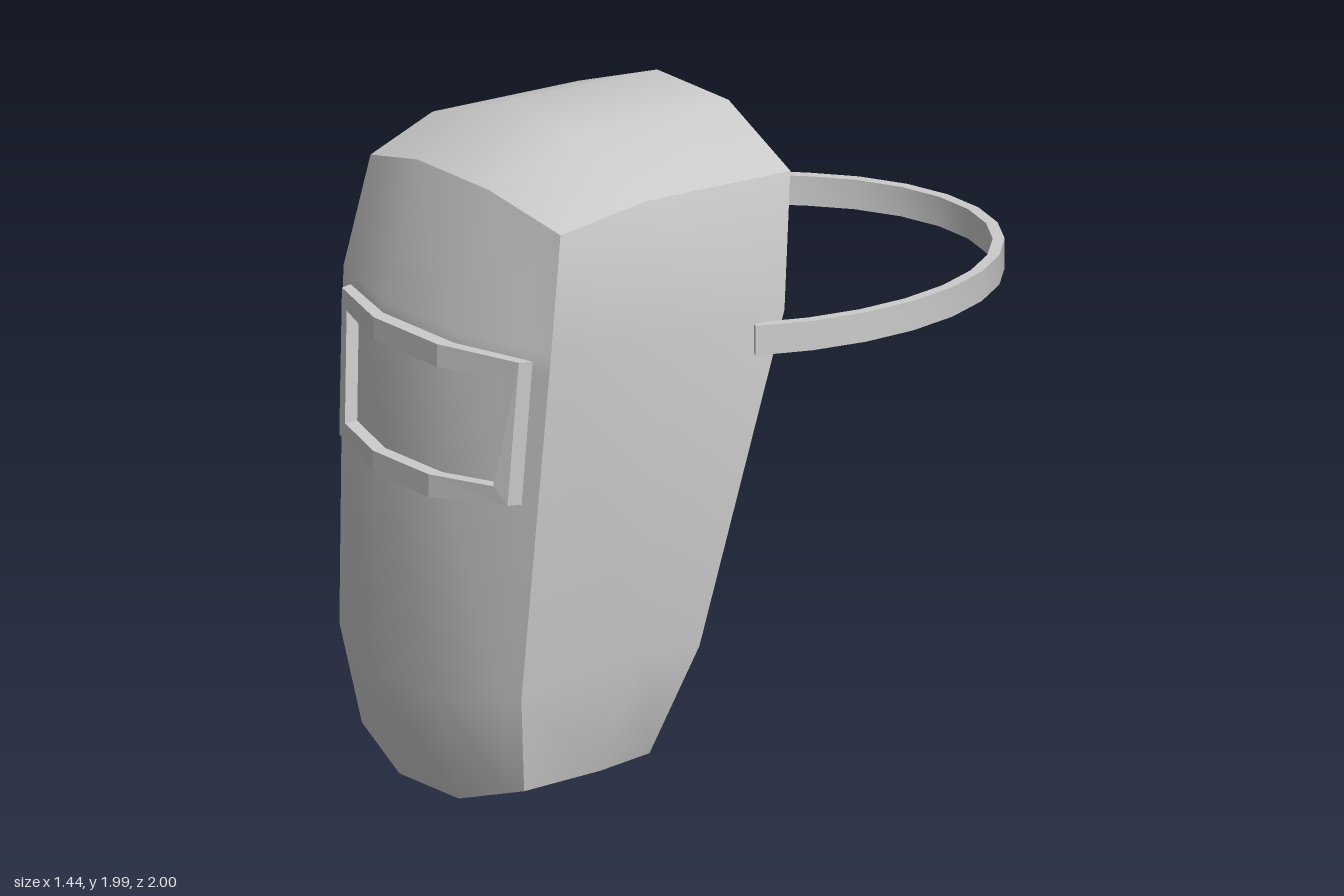
import * as THREE from 'three';
import { toCreasedNormals } from 'three/addons/utils/BufferGeometryUtils.js';

const mat = new THREE.MeshStandardMaterial({ color: 0xcccccc });
const thinMat = new THREE.MeshStandardMaterial({ color: 0xcccccc, side: THREE.DoubleSide });

// Surface through a grid of points: rows run down, columns run right, seen from its front.
function patch(grid, { flip = false, flat = false, hole = () => false } = {}) {
  const n = grid[0].length, index = [];
  for (let r = 0; r < grid.length - 1; r++) {
    for (let c = 0; c < n - 1; c++) {
      if (hole(r, c)) continue;
      const a = r * n + c, b = a + 1, d = a + n, e = d + 1;
      index.push(...(flip ? [a, e, d, a, b, e] : [a, d, e, a, e, b]));
    }
  }
  let geo = new THREE.BufferGeometry();
  geo.setAttribute('position', new THREE.Float32BufferAttribute(grid.flat(2), 3));
  geo.setIndex(index);
  if (flat) geo = geo.toNonIndexed();
  geo.computeVertexNormals();
  return geo;
}

const mesh = (name, geo, m = mat) => {
  const o = new THREE.Mesh(geo, m);
  o.name = name;
  return o;
};
const mirror = ([x, y, z]) => [-x, y, z];
const mix = (p, q, t) => p.map((v, i) => v + (q[i] - v) * t);
// Full row from its right half, listed from the centre outwards.
const fullRow = (half) => [...half.map(mirror).reverse(), ...half];
// Slanted plane that cuts the shell open at the back.
const cutZ = (y) => -0.04 + (2 - y) * 0.25;
const onCut = (x, y) => [x, y, cutZ(y)];

// Inner skin point: drawn in from the outer one, staying on the cut plane at the back.
function inset([x, y, z]) {
  const y2 = 1 + (y - 1) * 0.98;
  const back = Math.abs(z - cutZ(y)) < 0.001;
  return [x * 0.968, y2, back ? cutZ(y2) : z - 0.02];
}

function makeShell() {
  const shell = new THREE.Group();
  shell.name = 'maskShell';

  // Centre and corner lines of the front, from top to bottom
  const centre = [[0.18, 1.88, 0.815], [0.18, 1.47, 0.935], [0.17, 0.36, 0.985], [0.15, 0.03, 0.9]];
  const corner = [[0.48, 1.81, 0.77], [0.525, 1.47, 0.835], [0.46, 0.41, 0.895], [0.41, 0.11, 0.85]];
  // Widest line and back edge of the side wall
  const middle = [[0.535, 1.88, 0.51], [0.64, 1.48, 0.51], [0.565, 0.5, 0.54], [0.44, 0.135, 0.6]];
  const back = [onCut(0.535, 1.88), onCut(0.64, 1.5), onCut(0.565, 0.5), onCut(0.435, 0.155)];
  const topBack = onCut(0.18, 2), bottomBack = onCut(0.14, 0.03);

  // Front with extra rows and columns around the viewing window
  const withWindow = (line) => [line[0], line[1], mix(line[1], line[2], 0.06), mix(line[1], line[2], 0.42), line[2], line[3]];
  const c6 = withWindow(centre), e6 = withWindow(corner);
  const front = c6.map((c, i) => fullRow([c, mix(e6[i], c, 0.25), e6[i]]));
  const side = corner.map((p, i) => [p, middle[i], back[i]]);
  const top = [[topBack, back[0]], [[0.18, 2, 0.51], middle[0]], [centre[0], corner[0]]].map(fullRow);
  const bottom = [[centre[3], corner[3]], [[0.14, 0.01, 0.6], middle[3]], [bottomBack, back[3]]].map(fullRow);
  const hole = (r, c) => r === 2 && c > 0 && c < 4;

  const panels = [
    ['frontPanel', front, { hole }],
    ['leftPanel', side, {}],
    ['rightPanel', side.map((row) => row.map(mirror)), { flip: true }],
    ['topPanel', top, {}],
    ['bottomPanel', bottom, {}],
  ];
  for (const [name, grid, opt] of panels) {
    shell.add(mesh(name, patch(grid, opt)));
    const inner = grid.map((row) => row.map(inset));
    shell.add(mesh(name + 'Inside', patch(inner, { ...opt, flip: !opt.flip })));
  }

  // Thin rim joining both skins round the back opening
  const half = [topBack, ...back, bottomBack];
  const loop = [...half, ...half.map(mirror).reverse(), topBack];
  shell.add(mesh('rim', patch([loop, loop.map(inset)], { flip: true, flat: true })));
  return shell;
}

function makeWindow() {
  const group = new THREE.Group();
  group.name = 'viewingWindow';
  // Closed loop from the right half of the top and bottom edges
  const ring = (top, bottom) => {
    const t = fullRow(top), b = fullRow(bottom).reverse();
    return [...t, ...b, t[0]];
  };
  const push = (pts, dx, dz) => pts.map(([x, y, z]) => [x + Math.sign(x) * dx, y, z + dz]);
  const outer = ring([[0.16, 1.435, 0.985], [0.447, 1.435, 0.895]], [[0.14, 0.965, 1.0], [0.425, 0.997, 0.92]]);
  const innerTop = [[0.16, 1.365, 0.985], [0.405, 1.378, 0.908]];
  const innerBottom = [[0.14, 1.035, 1.0], [0.375, 1.047, 0.935]];
  const inner = ring(innerTop, innerBottom);
  const outerBack = push(outer, 0.018, -0.055);
  const innerBack = push(inner, 0, -0.075);
  group.add(mesh('windowFrame', patch([outerBack, outer, inner, innerBack, outerBack], { flat: true })));

  // Dark glass set back in the frame
  const lens = [innerTop, innerBottom].map((h) => push(fullRow(h), 0.005, -0.045));
  group.add(mesh('lens', patch(lens), thinMat));
  return group;
}

function makeHeadband() {
  // Flat elliptical strap, open at the front where it meets the shell
  const pts = [], inner = [], steps = 19;
  for (let i = 0; i <= steps; i++) {
    const a = THREE.MathUtils.degToRad(-26.5 + (233 * i) / steps);
    pts.push(new THREE.Vector2(0.722 * Math.cos(a), 0.17 + 0.83 * Math.sin(a)));
    inner.unshift(new THREE.Vector2(0.687 * Math.cos(a), 0.17 + 0.795 * Math.sin(a)));
  }
  const geo = new THREE.ExtrudeGeometry(new THREE.Shape([...pts, ...inner]), { depth: 0.09, bevelEnabled: false });
  geo.rotateX(-Math.PI / 2).translate(0, 1.385, 0);
  return mesh('headband', toCreasedNormals(geo, 0.6));
}

export function createModel() {
  const model = new THREE.Group();
  model.name = 'weldingMask';
  const mask = new THREE.Group();
  mask.name = 'mask';
  mask.add(makeShell(), makeWindow());
  mask.position.x = -0.01;
  model.add(mask, makeHeadband());
  return model;
}
